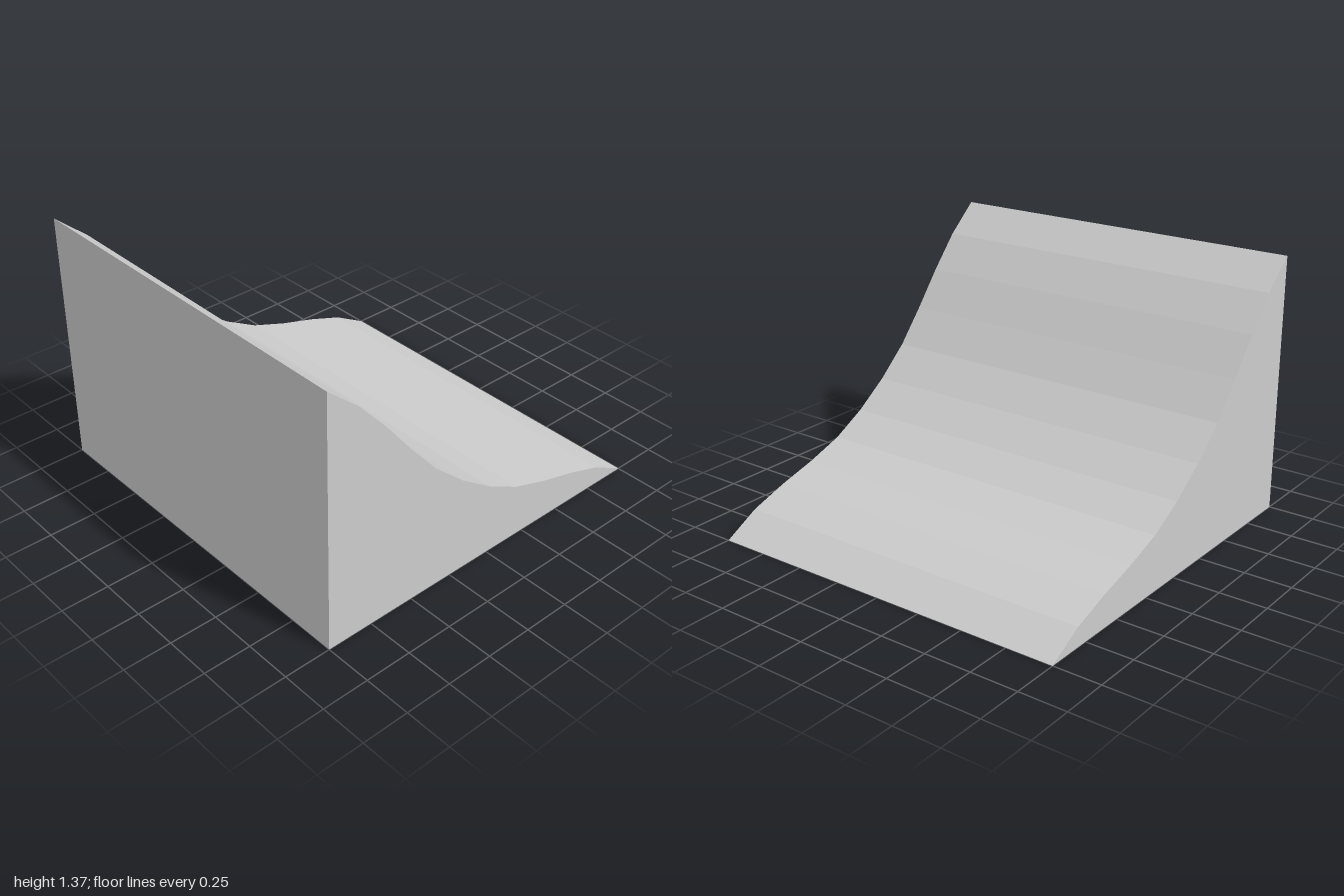
import * as THREE from 'three';

export function createModel() {
  const group = new THREE.Group();
  group.name = 'curvedRamp';

  // Side profile of the slope as [z, y], from the tall front edge down to the back
  const slope = [
    [1, 1.373], [0.825, 1.222], [0.67, 1.047], [0.518, 0.857], [0.365, 0.68], [0.19, 0.527],
    [0.005, 0.398], [-0.185, 0.297], [-0.39, 0.228], [-0.605, 0.17], [-0.81, 0.102], [-1, 0],
  ];
  const outline = [[1, 0], ...slope].map(([z, y]) => new THREE.Vector2(-z, y));

  // Solid wedge: the profile swept across the full width
  const geometry = new THREE.ExtrudeGeometry(new THREE.Shape(outline), { depth: 2, bevelEnabled: false });
  geometry.translate(0, 0, -1).rotateY(Math.PI / 2);

  const ramp = new THREE.Mesh(
    geometry,
    new THREE.MeshStandardMaterial({ color: 0xcccccc, flatShading: true })
  );
  ramp.name = 'ramp';
  group.add(ramp);
  return group;
}
